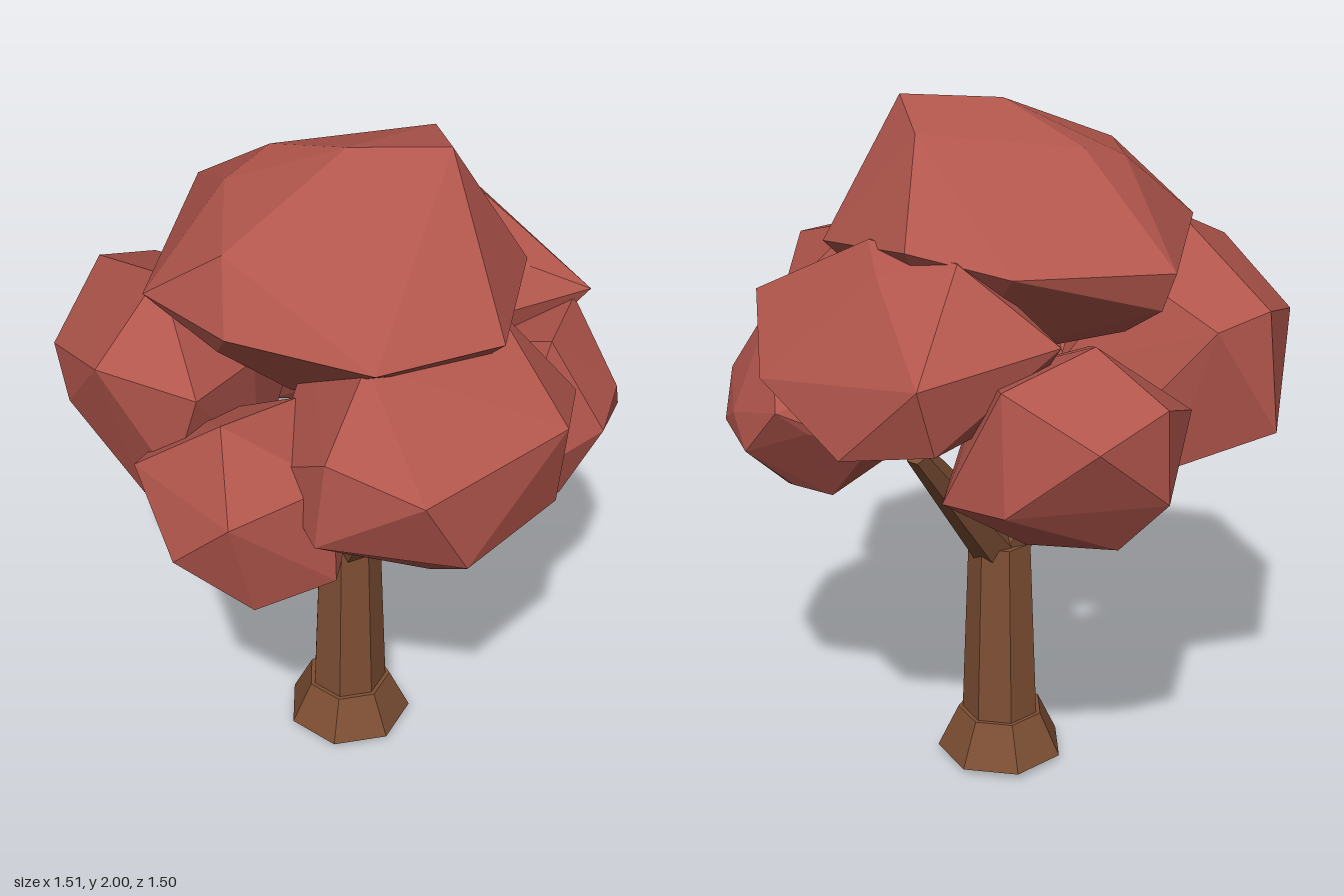
import * as THREE from 'three';
import { ConvexGeometry } from 'three/addons/geometries/ConvexGeometry.js';

const bark = new THREE.MeshStandardMaterial({ color: 0x7e4f34 });
bark.name = 'bark';
const foliage = new THREE.MeshStandardMaterial({ color: 0xb2564c });
foliage.name = 'foliage';

const TRUNK_X = 0.029;

// Flat-sided tapered cylinder
function taper(r0, r1, height, sides) {
  const g = new THREE.CylinderGeometry(r1, r0, height, sides).toNonIndexed();
  g.computeVertexNormals();
  return g;
}

// Seven-sided trunk section between two heights, one corner towards +x
function trunkSection(name, y0, y1, r0, r1) {
  const mesh = new THREE.Mesh(taper(r0, r1, y1 - y0, 7).rotateY(Math.PI / 2), bark);
  mesh.name = name;
  mesh.position.set(TRUNK_X, (y0 + y1) / 2, -0.006);
  return mesh;
}

// Tapered branch from a start point to a tip
function branch(name, start, tip) {
  const dir = tip.clone().sub(start);
  const mesh = new THREE.Mesh(taper(0.073, 0.035, dir.length(), 6), bark);
  mesh.name = name;
  mesh.position.copy(start).add(tip).multiplyScalar(0.5);
  mesh.quaternion.setFromUnitVectors(new THREE.Vector3(0, 1, 0), dir.normalize());
  return mesh;
}

// Faceted leaf clump: the hull around a stretched icosahedron and some outer corners
function clump(name, center, radii, corners) {
  const core = new THREE.IcosahedronGeometry(1, 0).scale(...radii).translate(...center).attributes.position;
  const points = corners.map((p) => new THREE.Vector3(...p));
  for (let i = 0; i < core.count; i++) points.push(new THREE.Vector3().fromBufferAttribute(core, i));
  const mesh = new THREE.Mesh(new ConvexGeometry(points), foliage);
  mesh.name = name;
  return mesh;
}

export function createModel() {
  const tree = new THREE.Group();
  tree.name = 'tree';

  // Trunk with a flared foot
  tree.add(
    trunkSection('trunkBase', 0, 0.03, 0.122, 0.12),
    trunkSection('trunkFlare', 0.02, 0.15, 0.186, 0.125),
    trunkSection('trunk', 0.14, 0.7, 0.113, 0.092),
  );

  // Three branches evenly spread around the trunk
  const fork = new THREE.Vector3(TRUNK_X, 0.66, 0);
  for (let i = 0; i < 3; i++) {
    const a = (i * Math.PI * 2) / 3;
    const tip = new THREE.Vector3(TRUNK_X + 0.37 * Math.cos(a), 1.1, 0.31 * Math.sin(a));
    tree.add(branch('branch' + (i + 1), fork, tip));
  }

  // Canopy clumps
  tree.add(
    clump('topClump', [0.03, 1.6, -0.03], [0.41, 0.33, 0.45], [
      [0.01, 1.99, 0], [0.17, 2, 0.22], [0.31, 1.95, 0.06], [0.54, 1.72, -0.08], [-0.37, 1.81, -0.1],
      [-0.13, 1.85, -0.3], [0.02, 1.9, -0.27], [0.1, 1.65, -0.61], [0.1, 1.54, -0.57], [0, 1.61, 0.53],
      [0, 1.53, 0.44], [-0.46, 1.63, -0.02], [-0.4, 1.53, -0.1], [-0.32, 1.61, 0.36],
      [0.36, 1.62, 0.34], [0.41, 1.66, -0.32], [-0.42, 1.62, -0.34],
    ]),
    clump('frontClump', [-0.14, 1.28, 0.3], [0.36, 0.31, 0.36], [
      [-0.02, 1.46, 0.75], [-0.47, 1.42, 0.64], [-0.34, 1.17, 0.68], [0.02, 1.18, 0.7],
      [0.24, 1.37, 0.6], [0.24, 1.25, 0.45], [-0.55, 1.2, 0.35], [-0.1, 0.93, 0.28], [-0.2, 0.96, 0.46],
      [0.11, 0.99, 0.35], [-0.28, 1.6, 0.3], [0.14, 1.6, 0.4], [-0.52, 1.45, 0.36],
    ]),
    clump('frontLeftClump', [0.4, 1.18, 0.33], [0.25, 0.25, 0.25], [
      [0.33, 1.2, 0.64], [0.26, 1.47, 0.5], [0.48, 1.47, 0.42], [0.48, 1.24, 0.58], [0.56, 1.12, 0.54],
      [0.66, 1.1, 0.38], [0.68, 1.25, 0.25], [0.47, 0.93, 0.4], [0.46, 0.93, 0.25], [0.11, 1.03, 0.46],
      [0.3, 0.95, 0.53], [0.5, 1.13, 0.08],
    ]),
    clump('leftClump', [0.4, 1.43, 0], [0.3, 0.26, 0.38], [
      [0.73, 1.45, -0.26], [0.75, 1.21, -0.02], [0.7, 1.35, 0.28], [0.46, 1.7, 0.1],
      [0.5, 1.5, 0.46], [0.48, 1.7, -0.2], [0.54, 1.66, -0.05], [0.38, 1.5, -0.45], [0.66, 1.25, -0.26],
      [0.55, 1.17, 0.05], [0.35, 1.14, 0],
    ]),
    clump('backLeftClump', [0.32, 1.2, -0.4], [0.27, 0.27, 0.28], [
      [0.28, 1.1, -0.72], [0.28, 1.36, -0.71], [0.5, 1.3, -0.65], [0.02, 1.25, -0.62], [0.61, 1.11, -0.44],
      [0.57, 1.43, -0.4], [0.3, 1.49, -0.5], [0.3, 0.94, -0.58], [0.3, 0.9, -0.28],
      [0.14, 0.95, -0.38], [0.58, 1.08, -0.22], [0.3, 1.1, -0.1],
    ]),
    clump('backRightClump', [-0.27, 1.27, -0.35], [0.33, 0.32, 0.31], [
      [-0.2, 1.14, -0.755], [-0.2, 1.48, -0.72], [-0.49, 1.38, -0.62], [-0.45, 1.15, -0.56],
      [-0.63, 1.5, -0.32], [-0.57, 1.2, -0.12], [-0.55, 1.48, -0.04], [-0.34, 1.64, -0.35],
      [-0.05, 1.45, -0.65], [-0.03, 1.03, -0.52], [-0.22, 0.92, -0.34], [-0.52, 1.05, -0.28],
    ]),
    clump('rightClump', [-0.42, 1.17, 0.06], [0.29, 0.25, 0.29], [
      [-0.76, 1.13, 0.05], [-0.73, 1.3, 0.22], [-0.64, 0.98, 0.22],
      [-0.39, 0.91, 0.1], [-0.15, 0.94, 0.08], [-0.63, 1.25, -0.2], [-0.55, 1.44, 0.04],
      [-0.5, 1, -0.2], [-0.45, 1.02, 0.34],
    ]),
  );

  return tree;
}
